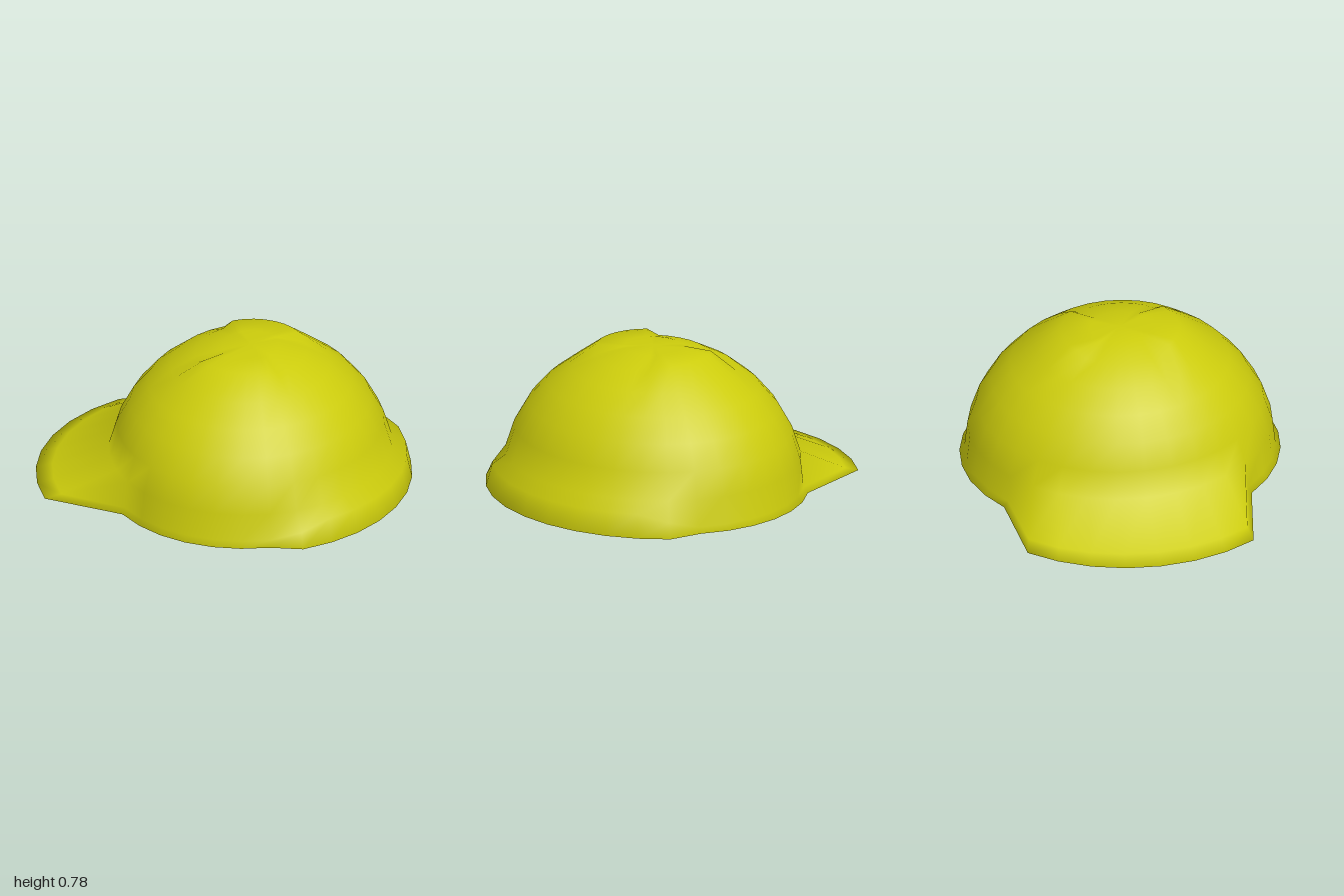
import * as THREE from 'three';

const SEGMENTS = 32, STEP = Math.PI * 2 / SEGMENTS, RINGS = 9;
const CENTRE_X = 0.145, BASE_Y = 0.03, RX = 0.765, RZ = 0.828, HEIGHT = 0.762;

// Which stretch of the rim or crown a segment belongs to (0 = +x, 8 = +z)
const isVisor = i => i >= 13 && i <= 20;
const isNeckGuard = i => i <= 5 || i >= 28;
const isRidge = i => (i >= 5 && i <= 12) || (i >= 21 && i <= 28);

// Lowest edge of the shell, y = 0
function rimPoint(i) {
  const c = Math.cos(i * STEP), s = Math.sin(i * STEP);
  if (isVisor(i)) return [CENTRE_X - 0.255 + 0.89 * c, 0, 0.95 * s];
  if (isNeckGuard(i)) return [CENTRE_X + 0.855 * c, 0, 0.92 * s];
  return [CENTRE_X + 0.78 * c, 0, 0.855 * s];
}

// Crease just above the edge: thin on the visor, tall on the neck guard
function creasePoint(i) {
  const c = Math.cos(i * STEP), s = Math.sin(i * STEP);
  if (isVisor(i)) return [CENTRE_X - 0.195 + 0.86 * c, BASE_Y, 0.92 * s];
  if (isNeckGuard(i)) {
    const corner = i === 5 || i === 28;
    return [CENTRE_X + 0.828 * c, corner ? 0.08 : 0.125, 0.88 * s];
  }
  return [CENTRE_X + RX * c, BASE_Y, RZ * s];
}

// Dome rings, with a raised ridge across the crown from side to side
function domePoint(i, ring) {
  const a = i * STEP, e = ring * Math.PI / 16;
  const lift = ring === 6 && isRidge(i) ? 0.034 : 0;
  return [
    CENTRE_X + RX * Math.cos(e) * Math.cos(a),
    BASE_Y + HEIGHT * Math.sin(e) + lift,
    RZ * Math.cos(e) * Math.sin(a),
  ];
}

// Dome, visor and neck guard as one smooth skin, rim to apex
function shellGeometry() {
  const positions = [], index = [];
  for (let r = 0; r < RINGS; r++) {
    for (let i = 0; i < SEGMENTS; i++) {
      positions.push(...(r === 0 ? rimPoint(i) : r === 1 ? creasePoint(i) : domePoint(i, r - 1)));
    }
  }
  const apex = RINGS * SEGMENTS;
  positions.push(CENTRE_X, 0.783, 0);
  for (let r = 0; r < RINGS; r++) {
    for (let i = 0; i < SEGMENTS; i++) {
      const j = (i + 1) % SEGMENTS;
      const a = r * SEGMENTS + i, b = r * SEGMENTS + j;
      if (r === RINGS - 1) index.push(a, apex, b);
      else index.push(a, a + SEGMENTS, b, b, a + SEGMENTS, b + SEGMENTS);
    }
  }
  const geometry = new THREE.BufferGeometry();
  geometry.setAttribute('position', new THREE.Float32BufferAttribute(positions, 3));
  geometry.setIndex(index);
  geometry.computeVertexNormals();

  // Rounded shading at the rim: normals point straight outward
  const normals = geometry.attributes.normal, n = new THREE.Vector3();
  for (let i = 0; i < SEGMENTS; i++) {
    n.fromBufferAttribute(normals, i).setY(0).normalize();
    normals.setXYZ(i, n.x, n.y, n.z);
  }
  return geometry;
}

// Flat underside closing the rim, sharing the rim's points and normals
function undersideGeometry(shell) {
  const geometry = new THREE.BufferGeometry(), index = [];
  for (const key of ['position', 'normal']) {
    const rim = shell.attributes[key].array.slice(0, SEGMENTS * 3);
    geometry.setAttribute(key, new THREE.BufferAttribute(rim, 3));
  }
  for (let i = 1; i < SEGMENTS - 1; i++) index.push(0, i, i + 1);
  geometry.setIndex(index);
  return geometry;
}

export function createModel() {
  const group = new THREE.Group();
  group.name = 'hardHat';
  const material = new THREE.MeshStandardMaterial({ color: 0xcccc0c, side: THREE.DoubleSide });

  const shell = new THREE.Mesh(shellGeometry(), material);
  shell.name = 'shell';
  const underside = new THREE.Mesh(undersideGeometry(shell.geometry), material);
  underside.name = 'underside';
  group.add(shell, underside);
  return group;
}
